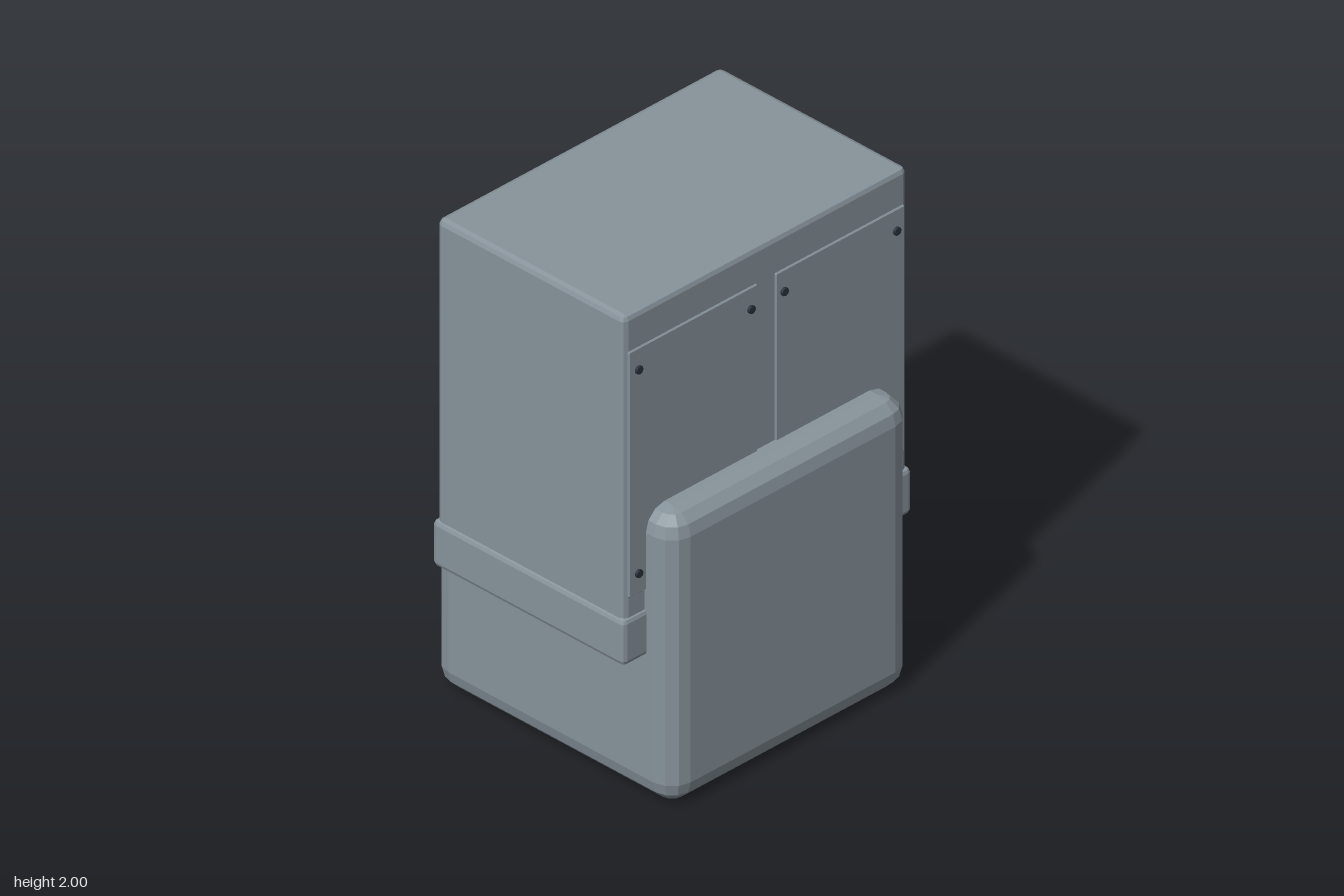
import * as THREE from 'three';
import { ConvexGeometry } from 'three/addons/geometries/ConvexGeometry.js';

const bodyGrey = new THREE.MeshStandardMaterial({ color: 0x87939b });
const darkSlate = new THREE.MeshStandardMaterial({ color: 0x2a323d });
bodyGrey.name = 'bodyGrey';
darkSlate.name = 'darkSlate';

// Box with faceted round edges: the hull of eight sphere octants.
function bevelledBox(w, h, d, r, segments) {
  const points = [];
  for (const sx of [-1, 1]) for (const sy of [-1, 1]) for (const sz of [-1, 1]) {
    for (let i = 0; i <= segments; i++) {
      const lat = (i / segments) * Math.PI / 2;
      const steps = i === segments ? 0 : segments;
      for (let j = 0; j <= steps; j++) {
        const lon = (j / segments) * Math.PI / 2;
        points.push(new THREE.Vector3(
          sx * (w / 2 - r + r * Math.cos(lat) * Math.cos(lon)),
          sy * (h / 2 - r + r * Math.sin(lat)),
          sz * (d / 2 - r + r * Math.cos(lat) * Math.sin(lon))
        ));
      }
    }
  }
  return new ConvexGeometry(points);
}

export function createModel() {
  const model = new THREE.Group();
  model.name = 'cabinetOnBlock';

  function add(name, geometry, material, x, y, z) {
    const mesh = new THREE.Mesh(geometry, material);
    mesh.name = name;
    mesh.position.set(x, y, z);
    model.add(mesh);
    return mesh;
  }

  // Main volumes
  add('baseBlock', bevelledBox(1.17, 1.175, 1.17, 0.09, 3), bodyGrey, 0, 0.5925, 0);
  add('plinth', bevelledBox(1.394, 0.185, 0.926, 0.018, 2), bodyGrey, 0, 0.6875, 0);
  add('cabinet', bevelledBox(1.37, 1.3, 0.904, 0.022, 2), bodyGrey, 0, 1.35, 0);

  // Two front doors, each with four corner bolts
  const doorGeometry = bevelledBox(0.622, 0.995, 0.02, 0.004, 1);
  const boltGeometry = new THREE.CylinderGeometry(0.016, 0.016, 0.02, 8);
  boltGeometry.rotateX(Math.PI / 2);
  for (const side of [-1, 1]) {
    add(side > 0 ? 'leftDoor' : 'rightDoor', doorGeometry, bodyGrey, side * 0.355, 1.3575, 0.449);
    for (const x of [0.08, 0.623]) for (const y of [0.945, 1.77]) {
      add('doorBolt', boltGeometry, darkSlate, side * x, y, 0.46);
    }
  }

  // Ventilation slots on the left wall
  const slotGeometry = new THREE.BoxGeometry(0.012, 0.021, 0.496);
  for (let i = 0; i < 7; i++) {
    add('ventSlot', slotGeometry, darkSlate, 0.684, 1.038 + i * 0.0592, 0);
  }

  return model;
}
